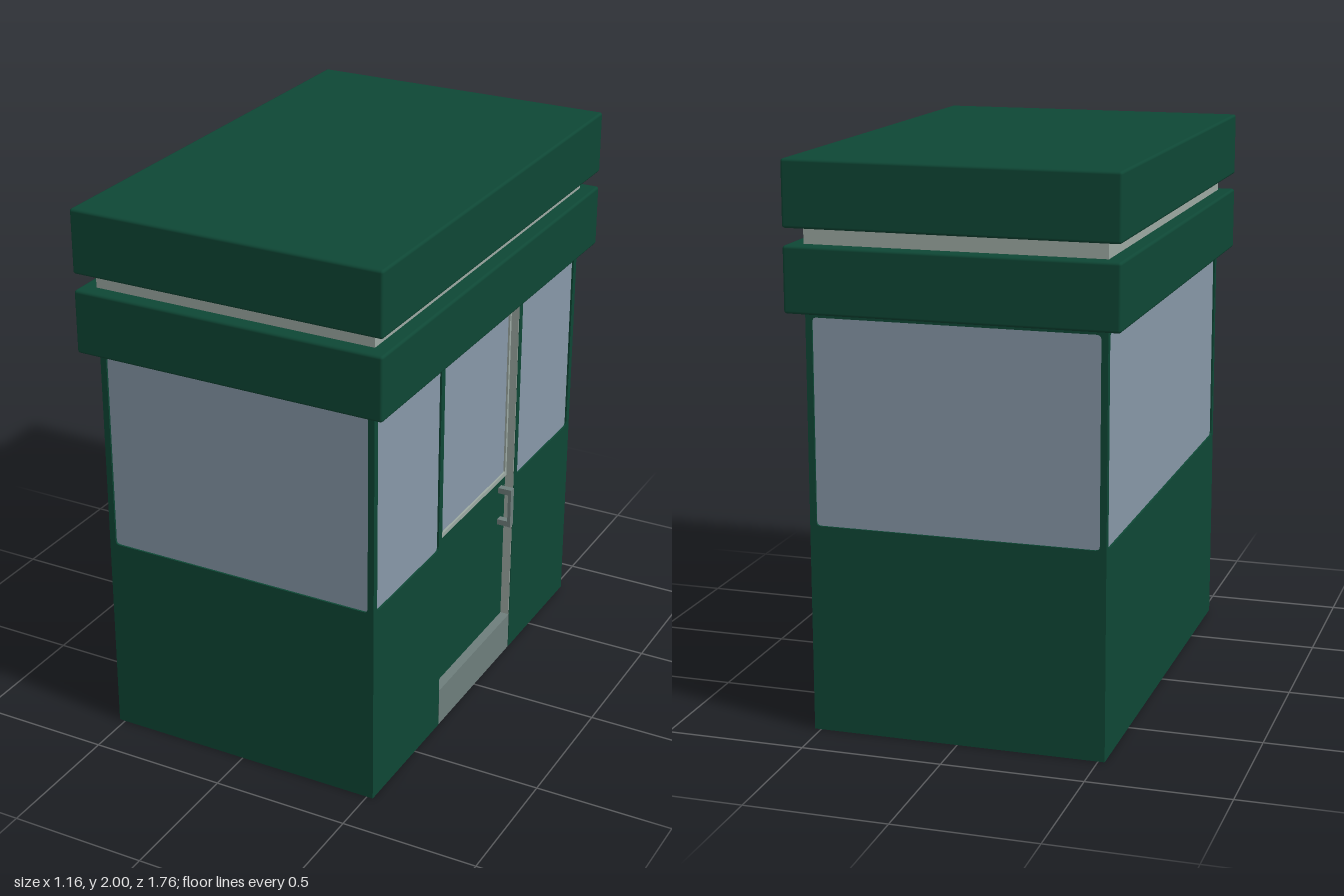
import * as THREE from 'three';
import { RoundedBoxGeometry } from 'three/addons/geometries/RoundedBoxGeometry.js';

const W = 1.046, D = 1.65, H = 1.49, T = 0.02;   // booth width, depth, wall height, wall thickness
const SILL = 0.74, HEAD = 1.465, DOOR = 0.307;   // window bottom and top, half door width

function material(name, color) {
  const m = new THREE.MeshStandardMaterial({ color });
  m.name = name;
  return m;
}

// Rectangle with rounded corners, as a Path or Shape
function roundedRect(Type, x0, y0, x1, y1, r) {
  const p = new Type();
  p.moveTo(x0 + r, y0);
  p.lineTo(x1 - r, y0).quadraticCurveTo(x1, y0, x1, y0 + r);
  p.lineTo(x1, y1 - r).quadraticCurveTo(x1, y1, x1 - r, y1);
  p.lineTo(x0 + r, y1).quadraticCurveTo(x0, y1, x0, y1 - r);
  p.lineTo(x0, y0 + r).quadraticCurveTo(x0, y0, x0 + r, y0);
  return p;
}

export function createModel() {
  const green = material('darkGreen', 0x0e4735);
  const glass = material('glass', 0x8798a8);
  const trim = material('paleTrim', 0x9daaa3);
  const steel = material('steel', 0x6e7e7c);
  const model = new THREE.Group();
  model.name = 'booth';

  function add(parent, name, geometry, mat, x = 0, y = 0, z = 0) {
    const mesh = new THREE.Mesh(geometry, mat);
    mesh.name = name;
    mesh.position.set(x, y, z);
    parent.add(mesh);
    return mesh;
  }
  const box = (parent, name, mat, w, h, d, x, y, z) =>
    add(parent, name, new THREE.BoxGeometry(w, h, d), mat, x, y, z);
  const extrude = (shape, depth) =>
    new THREE.ExtrudeGeometry(shape, { depth, bevelEnabled: false, curveSegments: 3 });

  // A wall facing local +z, its outer face at z = 0, with glazed openings
  function wall(name, width, windows, angle, distance, hasDoor = false) {
    const group = new THREE.Group();
    group.name = name;
    const h = width / 2;
    const outline = hasDoor
      ? [[-h, 0], [-DOOR, 0], [-DOOR, 1.48], [DOOR, 1.48], [DOOR, 0], [h, 0], [h, H], [-h, H]]
      : [[-h, 0], [h, 0], [h, H], [-h, H]];
    const shape = new THREE.Shape(outline.map(([x, y]) => new THREE.Vector2(x, y)));
    for (const [a, b] of windows) {
      shape.holes.push(roundedRect(THREE.Path, a, SILL, b, HEAD, 0.015));
      box(group, 'windowPane', glass, b - a, HEAD - SILL, 0.006, (a + b) / 2, (SILL + HEAD) / 2, -0.01);
    }
    add(group, 'wallPanel', extrude(shape, T), green, 0, 0, -T);
    group.rotation.y = angle;
    group.position.set(Math.sin(angle) * distance, 0, Math.cos(angle) * distance);
    model.add(group);
    return group;
  }

  const sideWidth = D - 2 * T;
  wall('frontWall', W, [[-0.5, 0.5]], 0, D / 2);
  wall('backWall', W, [[-0.5, 0.5]], Math.PI, D / 2);
  wall('leftWall', sideWidth, [[-0.8, -0.333], [0.333, 0.8]], Math.PI / 2, W / 2, true);
  wall('rightWall', sideWidth, [[-0.8, 0.8]], -Math.PI / 2, W / 2);

  // Recessed door in the left wall
  const door = new THREE.Group();
  door.name = 'door';
  door.rotation.y = Math.PI / 2;
  door.position.x = W / 2;
  model.add(door);
  box(door, 'doorPanel', green, 2 * DOOR, SILL, 0.02, 0, SILL / 2, -0.045);
  box(door, 'kickPlate', steel, 2 * DOOR - 0.006, 0.145, 0.035, 0, 0.0725, -0.018);

  const frame = roundedRect(THREE.Shape, -DOOR, SILL, DOOR, 1.48, 0.004);
  frame.holes.push(roundedRect(THREE.Path, -0.291, 0.757, 0.291, 1.467, 0.006));
  add(door, 'doorWindowFrame', extrude(frame, 0.025), trim, 0, 0, -0.055);
  box(door, 'doorWindow', glass, 0.59, 0.72, 0.006, 0, 1.112, -0.04);
  for (const side of [-1, 1])
    box(door, 'doorJamb', trim, 0.004, 1.48, 0.053, side * (DOOR - 0.002), 0.74, -0.0285);
  box(door, 'doorHead', trim, 2 * DOOR, 0.004, 0.053, 0, 1.478, -0.0285);

  // Pull handle
  box(door, 'handleBar', steel, 0.026, 0.155, 0.012, 0.256, 0.636, 0.012);
  for (const y of [0.57, 0.702])
    box(door, 'handlePost', steel, 0.026, 0.022, 0.045, 0.256, y, -0.015);

  // Two roof slabs with a pale band between them
  const slab = (name, y0, y1) =>
    add(model, name, new RoundedBoxGeometry(1.156, y1 - y0, 1.76, 2, 0.01), green, 0, (y0 + y1) / 2, 0);
  slab('lowerRoofSlab', 1.483, 1.712);
  box(model, 'roofBand', trim, W, 0.08, D, 0, 1.74, 0);
  slab('upperRoofSlab', 1.77, 2);

  return model;
}
